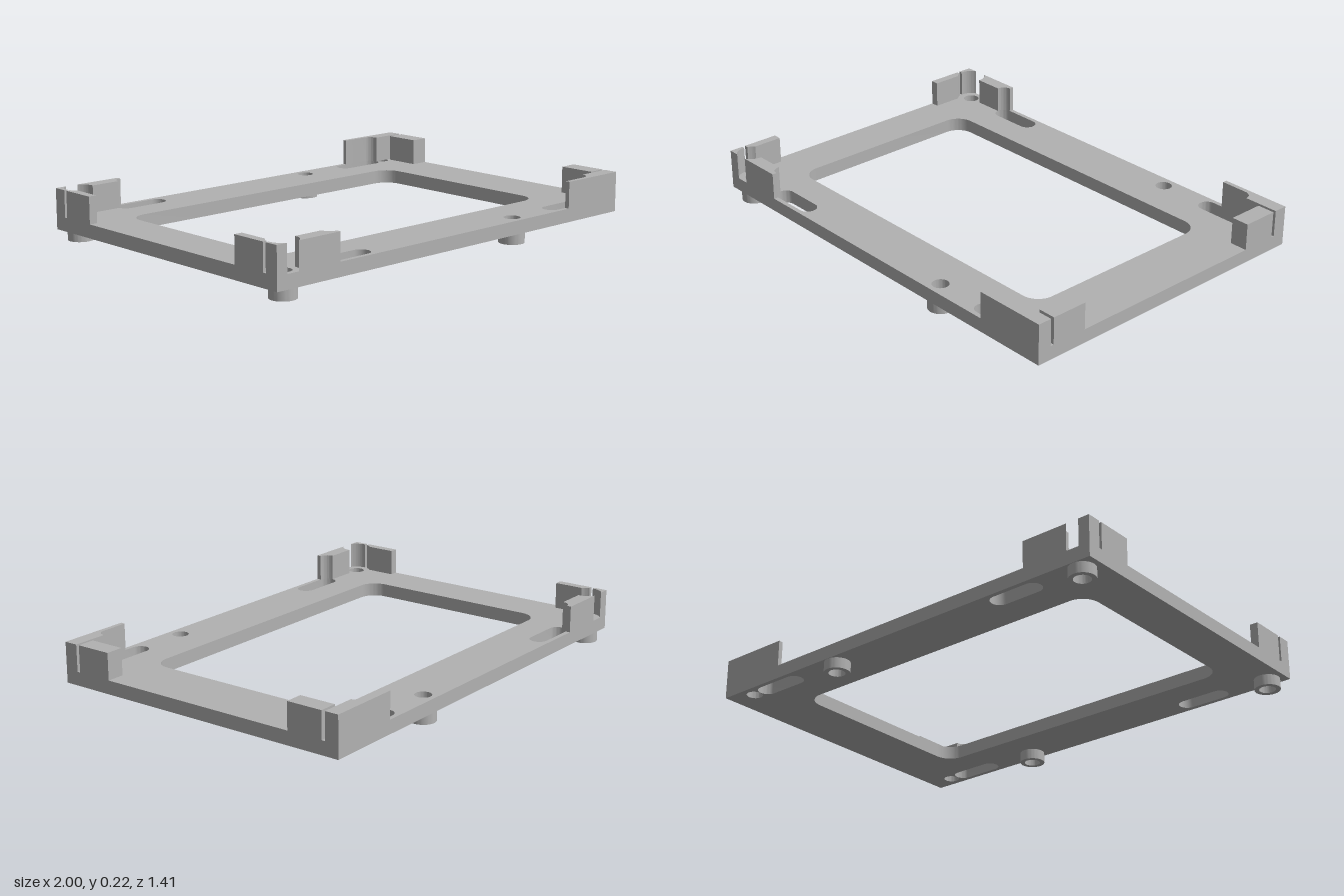
import * as THREE from 'three';
import { toCreasedNormals } from 'three/addons/utils/BufferGeometryUtils.js';

const BASE = 0.047, DECK = 0.107, TOP = 0.225; // plate underside, plate top, wall top
const HALF_Z = 0.705, HOLE_Z = 0.647, SLOT_Z = 0.645;
const HOLE_R = 0.036, SLOT_R = 0.04, BOSS_R = 0.056, CLEAR_R = 0.065;
const PI = Math.PI;

export function createModel() {
  const model = new THREE.Group();
  model.name = 'mountingFrame';
  const grey = new THREE.MeshStandardMaterial({ color: 0xb2b2b2 });
  grey.name = 'plainGrey';

  // Points along an arc in the ground plane
  const arc = (cx, cz, r, a0, a1, n = 16) =>
    Array.from({ length: n + 1 }, (_, i) => {
      const a = a0 + ((a1 - a0) * i) / n;
      return [cx + r * Math.cos(a), cz + r * Math.sin(a)];
    });
  const toPoints = (pts, side = 1) => pts.map(([x, z]) => new THREE.Vector2(x, z * side));
  const circlePath = (x, z, r) => new THREE.Path().absarc(x, z, r, 0, 2 * PI);

  // Raise an (x, z) outline between two heights
  function addSolid(name, shape, y0, y1) {
    let geo = new THREE.ExtrudeGeometry(shape, { depth: y1 - y0, bevelEnabled: false, curveSegments: 24 });
    geo.rotateX(PI / 2).translate(0, y1, 0);
    geo = toCreasedNormals(geo, 0.6);
    const mesh = new THREE.Mesh(geo, grey);
    mesh.name = name;
    model.add(mesh);
  }

  // Base plate with a rounded window, round holes and slots
  const plate = new THREE.Shape(toPoints([[-1, -HALF_Z], [1, -HALF_Z], [1, HALF_Z], [-1, HALF_Z]]));
  const wx0 = -0.8, wx1 = 0.738, wz = 0.467, wr = 0.08;
  plate.holes.push(new THREE.Path(toPoints([
    ...arc(wx1 - wr, wz - wr, wr, 0, PI / 2),
    ...arc(wx0 + wr, wz - wr, wr, PI / 2, PI),
    ...arc(wx0 + wr, -wz + wr, wr, PI, 1.5 * PI),
    ...arc(wx1 - wr, -wz + wr, wr, 1.5 * PI, 2 * PI),
  ])));
  for (const side of [1, -1]) {
    for (const x of [-0.92, 0.37]) plate.holes.push(circlePath(x, side * HOLE_Z, HOLE_R));
    plate.holes.push(circlePath(0.877, side * HOLE_Z, HOLE_R - 0.001));
    for (const [x0, x1] of [[-0.68, -0.515], [0.63, 0.8]]) {
      plate.holes.push(new THREE.Path(toPoints([
        ...arc(x1, SLOT_Z, SLOT_R, -PI / 2, PI / 2),
        ...arc(x0, SLOT_Z, SLOT_R, PI / 2, 1.5 * PI),
      ], side)));
    }
  }
  addSolid('basePlate', plate, BASE, DECK);

  // Corner walls, notched around the screw holes and the slots
  const walls = {
    cornerPost: [[-1, HALF_Z], ...arc(-0.92, HOLE_Z, CLEAR_R, 2.04, 3.203), [-1, 0.643]],
    rightSideWall: [
      [-0.68, HALF_Z],
      ...arc(-0.92, HOLE_Z, CLEAR_R, 1.102, -0.062),
      ...arc(-0.68, SLOT_Z, SLOT_R, PI + 0.05, PI / 2),
    ],
    rightEndWall: [[-1, 0.465], [-0.963, 0.465], ...arc(-0.92, HOLE_Z, CLEAR_R, 3.99, 3.438), [-1, 0.628]],
    leftSideWall: [
      [1, HALF_Z], [0.675, HALF_Z], [0.675, 0.685],
      ...arc(0.8, SLOT_Z, SLOT_R, PI / 2, -0.05), [1, 0.643],
    ],
    leftEndWall: [[0.92, 0.465], [1, 0.465], [1, 0.628], [0.92, 0.628]],
  };
  for (const side of [1, -1]) {
    const end = side > 0 ? 'Front' : 'Back';
    for (const [name, pts] of Object.entries(walls)) {
      addSolid(name + end, new THREE.Shape(toPoints(pts, side)), DECK, TOP);
    }
    // Hollow standoffs under the plate
    for (const x of [-0.92, 0.37]) {
      const ring = new THREE.Shape().absarc(x, side * HOLE_Z, BOSS_R, 0, 2 * PI);
      ring.holes.push(circlePath(x, side * HOLE_Z, HOLE_R));
      addSolid('standoff' + end, ring, 0, BASE);
    }
  }
  return model;
}
